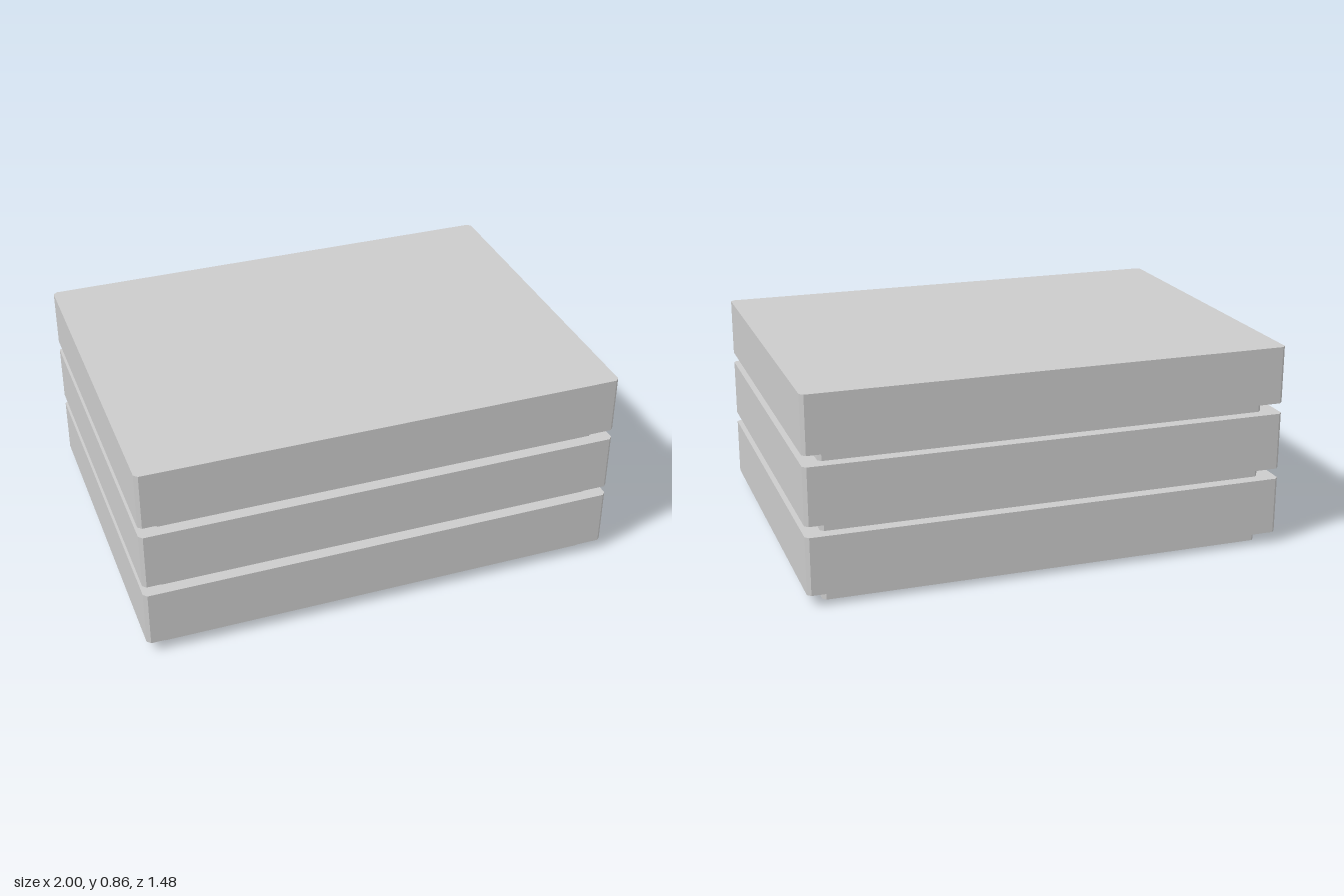
import * as THREE from 'three';

const material = new THREE.MeshStandardMaterial({ color: 0xcccccc, flatShading: true });

// Upright block with its four vertical corners cut off
function block(name, x, z, cut, y0, y1) {
  const outline = new THREE.Shape([
    [x, z - cut], [x - cut, z], [cut - x, z], [-x, z - cut],
    [-x, cut - z], [cut - x, -z], [x - cut, -z], [x, cut - z],
  ].map(([a, b]) => new THREE.Vector2(a, b)));
  const geometry = new THREE.ExtrudeGeometry(outline, { depth: y1 - y0, bevelEnabled: false });
  geometry.rotateX(-Math.PI / 2);
  const mesh = new THREE.Mesh(geometry, material);
  mesh.name = name;
  mesh.position.y = y0;
  return mesh;
}

export function createModel() {
  const model = new THREE.Group();
  model.name = 'stackedSlabs';
  const foot = 0.048, pitch = 0.284, slab = 0.239;

  // Three equal tiers, each a wide slab on a slightly inset foot
  for (let i = 0; i < 3; i++) {
    const tier = new THREE.Group();
    tier.name = `tier${i + 1}`;
    tier.position.y = i * pitch;
    tier.add(
      block('foot', 0.93, 0.687, 0.014, i ? slab + foot - pitch : 0, foot),
      block('slab', 1, 0.738, 0.015, foot, foot + slab),
    );
    model.add(tier);
  }
  return model;
}
